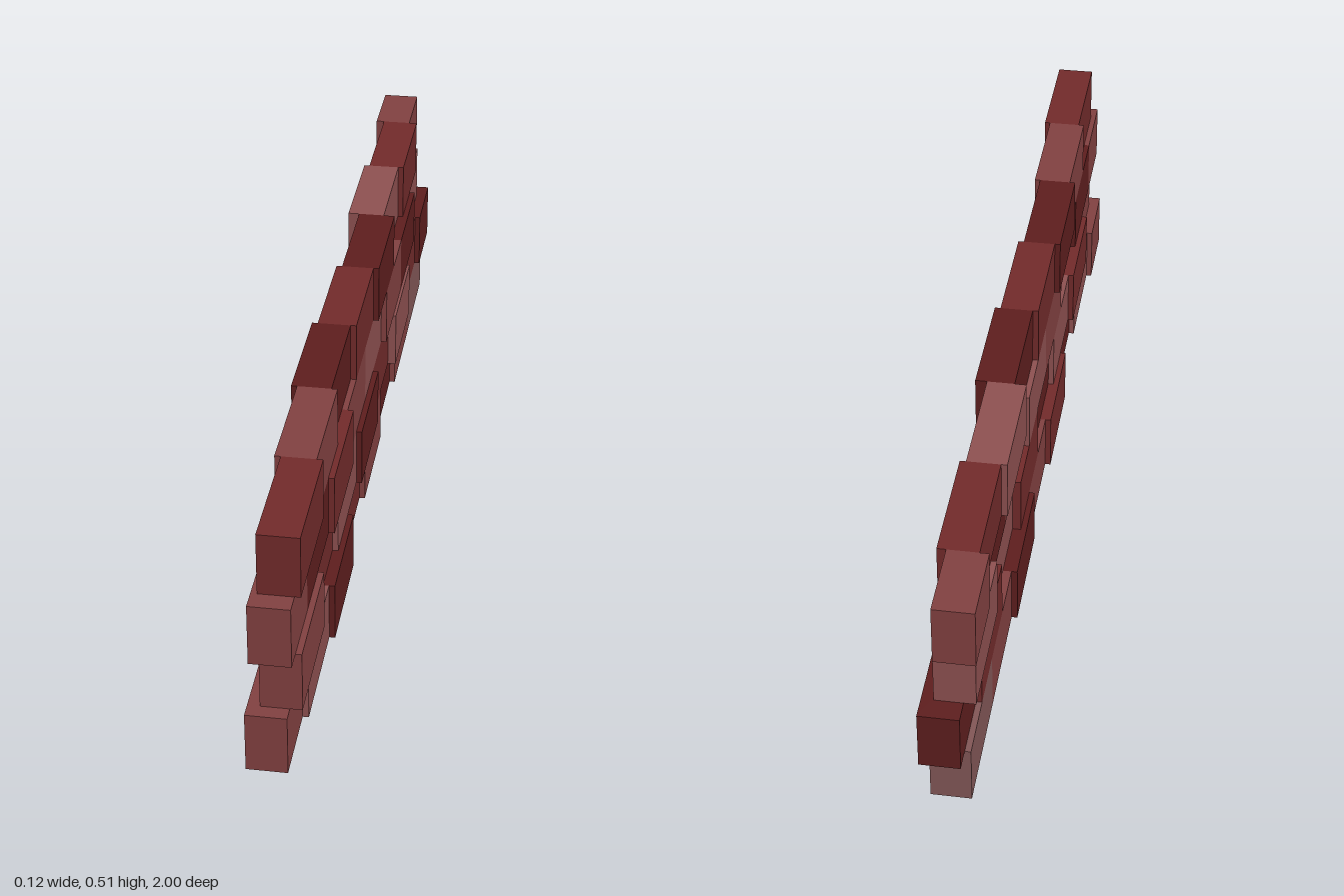
import * as THREE from 'three';

const COLORS = { D: 0x5e1e1e, R: 0x722b2b, M: 0x824141, L: 0x8e5151, G: 0x835757 };
const ROW_HEIGHT = 0.1275;
const BRICK_DEPTH = 0.08;
const BRICK_LENGTH = 0.2545;

// Courses from the ground up: both ends, the first joint, brick tones and sideways shifts
const COURSES = [
  { front: 0.99, joint: 0.825, back: -0.955, tones: 'MLDRMDMG',
    shifts: [-0.012, 0, 0.012, -0.012, 0, -0.012, 0, 0] },
  { front: 0.96, joint: 0.703, back: -1.0, tones: 'MRLDRLRD',
    shifts: [0.012, -0.012, 0, 0.012, 0, 0.018, 0, 0.012] },
  { front: 1.0, joint: 0.825, back: -0.955, tones: 'MDRMLMDL',
    shifts: [0, 0, 0.012, 0, 0, 0.012, 0.012, -0.012] },
  { front: 0.96, joint: 0.703, back: -0.985, tones: 'RMDRDLRM',
    shifts: [0.012, 0, -0.012, 0, 0.012, -0.012, 0, -0.018] },
];

export function createModel() {
  const wall = new THREE.Group();
  wall.name = 'brickWall';
  const materials = {};
  for (const [tone, color] of Object.entries(COLORS)) {
    materials[tone] = new THREE.MeshStandardMaterial({ color, flatShading: true });
  }

  COURSES.forEach(({ front, joint, back, tones, shifts }, row) => {
    const course = new THREE.Group();
    course.name = `course${row + 1}`;
    course.position.y = (row + 0.5) * ROW_HEIGHT;

    // Bricks run from the front end to the back, the end ones cut to length
    shifts.forEach((shift, i) => {
      const near = i === 0 ? front : joint - (i - 1) * BRICK_LENGTH;
      const far = i === shifts.length - 1 ? back : joint - i * BRICK_LENGTH;
      const brick = new THREE.Mesh(
        new THREE.BoxGeometry(BRICK_DEPTH, ROW_HEIGHT, near - far),
        materials[tones[i]],
      );
      brick.name = `brick${i + 1}`;
      brick.position.set(shift, 0, (near + far) / 2);
      course.add(brick);
    });
    wall.add(course);
  });
  return wall;
}
